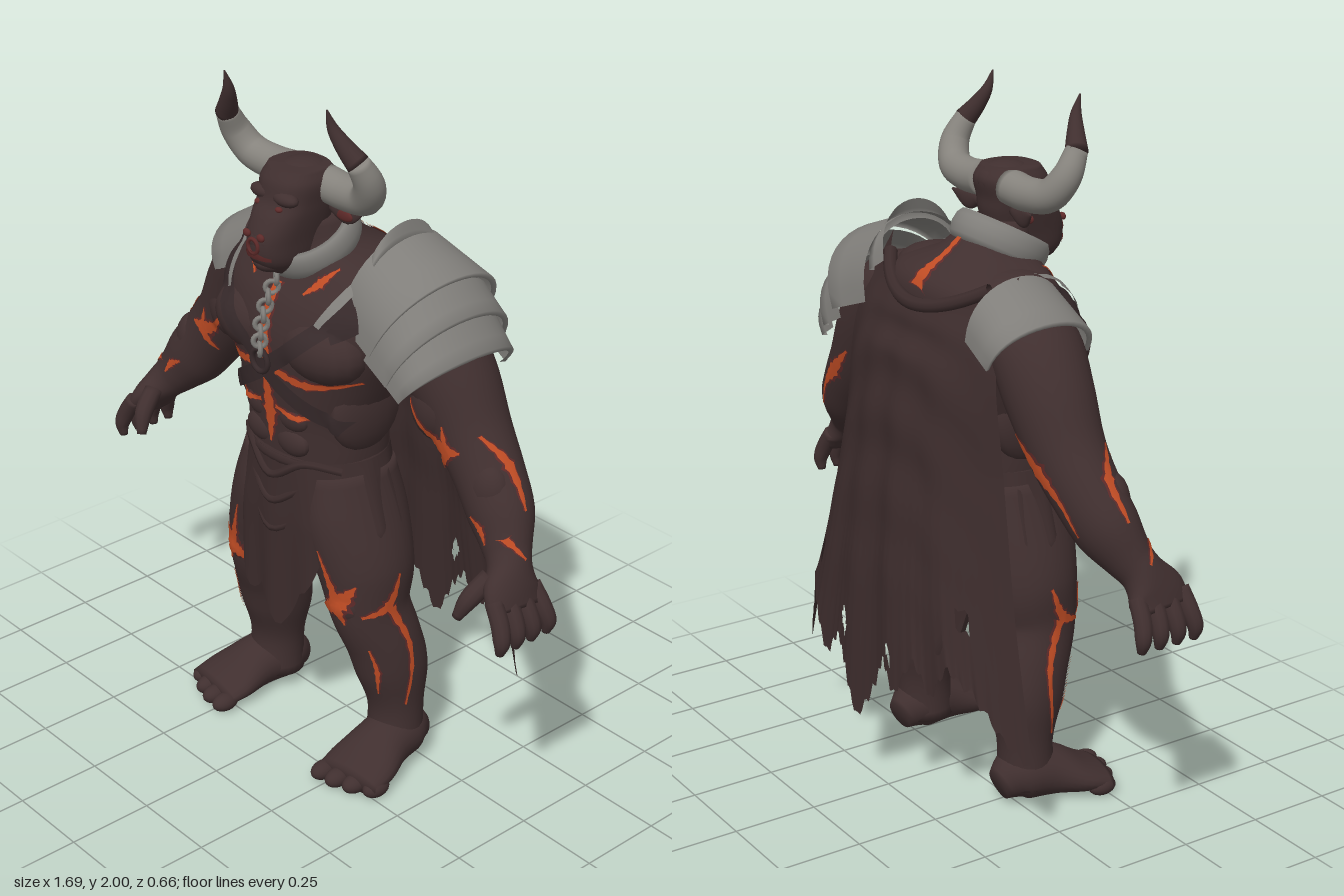
import * as THREE from 'three';
import { mergeVertices } from 'three/addons/utils/BufferGeometryUtils.js';

const V = (x, y, z) => new THREE.Vector3(x, y, z);
const material = (name, color, side = THREE.FrontSide) => {
  const m = new THREE.MeshStandardMaterial({ color, side });
  m.name = name;
  return m;
};

// Smooth surface from a rule f(i, j); cells with a missing corner or a true skip are left open
function grid(nu, nv, f, skip = () => false) {
  const pos = [], idx = [], ok = [];
  for (let i = 0; i <= nu; i++) for (let j = 0; j <= nv; j++) {
    const p = f(i, j);
    ok.push(!!p);
    pos.push(...(p || V(0, 0, 0)).toArray());
  }
  for (let i = 0; i < nu; i++) for (let j = 0; j < nv; j++) {
    const a = i * (nv + 1) + j, b = a + nv + 1;
    if (!ok[a] || !ok[b] || !ok[a + 1] || !ok[b + 1] || skip(i, j, pos, a, b)) continue;
    idx.push(a, b, a + 1, b, b + 1, a + 1);
  }
  let g = new THREE.BufferGeometry();
  g.setAttribute('position', new THREE.Float32BufferAttribute(pos, 3));
  g.setIndex(idx);
  g = mergeVertices(g, 1e-5);
  g.computeVertexNormals();
  return g;
}

// Closed body through sections [x, y, z, halfWidth, halfDepth]
function loft(sections, { ref = V(0, 0, 1), axis = null, s = 1, power = 1, seg = 24 } = {}) {
  const path = new THREE.CatmullRomCurve3(sections.map(p => V(p[0] * s, p[1], p[2])));
  const size = new THREE.CatmullRomCurve3(sections.map(p => V(p[3], p[4], 0)), false, 'catmullrom', 0.5);
  const n = (sections.length - 1) * 5;
  const pw = c => Math.sign(c) * Math.abs(c) ** power;
  return grid(n + 2, seg, (i, j) => {
    const t = Math.min(Math.max(i - 1, 0), n) / n, c = path.getPoint(t);
    if (i === 0 || i === n + 2) return c;
    const T = axis || path.getTangent(t), r = size.getPoint(t), a = (j % seg) / seg * Math.PI * 2;
    const N = V(0, 0, 0).crossVectors(T, ref).normalize(), B = V(0, 0, 0).crossVectors(N, T).normalize();
    return c.addScaledVector(N, r.x * pw(Math.cos(a))).addScaledVector(B, r.y * pw(Math.sin(a)));
  });
}

// Piecewise-linear lookup for ragged hems
const lookup = (list, t) => {
  const k = Math.min(Math.max(t, 0), 0.9999) * (list.length - 1), i = Math.floor(k);
  return list[i] + (list[i + 1] - list[i]) * (k - i);
};
const zigzag = t => Math.abs((((t % 1) + 1) % 1) * 2 - 1) * 2 - 1;

export function createModel() {
  const group = new THREE.Group();
  group.name = 'hornedWarrior';
  const skin = material('darkSkin', 0x402f2f);
  const cloth = material('cloth', 0x3b2b2b, THREE.DoubleSide);
  const leather = material('leather', 0x36292a, THREE.DoubleSide);
  const steel = material('steel', 0x807e7a, THREE.DoubleSide);
  const horn = material('paleHorn', 0x86837d);
  const ember = material('ember', 0xc04c24, THREE.DoubleSide);
  const red = material('dullRed', 0x5e2a29, THREE.DoubleSide);
  const bodies = [];
  const add = (name, geo, mat) => {
    const m = new THREE.Mesh(geo, mat);
    m.name = name;
    group.add(m);
    if (mat === skin) bodies.push(m);
  };
  const bump = (name, x, y, z, rx, ry, rz, mat = skin) =>
    add(name, new THREE.SphereGeometry(1, 18, 12).scale(rx, ry, rz).translate(x, y, z), mat);

  // Torso and head, built from level slices
  const up = V(0, 1, 0);
  add('torso', loft([[0, .8, .1, .19, .15], [0, .95, .1, .21, .165], [0, 1.08, .1, .215, .175], [0, 1.2, .09, .26, .195],
    [0, 1.32, .08, .31, .21], [0, 1.42, .06, .33, .205], [0, 1.5, .045, .27, .175], [0, 1.56, .08, .13, .125],
    [0, 1.64, .13, .08, .08]], { axis: up, seg: 40, power: .9 }), skin);
  add('head', loft([[0, 1.5, .2, .04, .06], [0, 1.54, .22, .066, .095], [0, 1.6, .21, .075, .115], [0, 1.66, .19, .085, .112],
    [0, 1.7, .175, .09, .1], [0, 1.75, .165, .095, .098], [0, 1.785, .165, .08, .075]], { axis: up, power: .8 }), skin);
  bump('crown', 0, 1.745, .15, .085, .05, .085);
  bump('muzzle', 0, 1.6, .265, .066, .045, .062);
  bump('chin', 0, 1.535, .265, .045, .03, .05);
  add('noseRing', new THREE.TorusGeometry(.02, .006, 6, 18).translate(0, 1.59, .325), red);
  for (let i = 0; i < 3; i++) for (const s of [-1, 1])
    bump('abdominal', s * .062, 1.165 - i * .075, .248, .064, .044, .029);

  for (const s of [-1, 1]) {
    const part = (name, sections, mat = skin, opt = {}) => add(name, loft(sections, { s, ...opt }), mat);
    // Chest and face
    bump('pectoral', s * .135, 1.31, .2, .15, .1, .098);
    bump('collarMuscle', s * .17, 1.48, .05, .14, .06, .12);
    bump('sideMuscle', s * .19, 1.12, .1, .05, .13, .12);
    bump('brow', s * .045, 1.715, .25, .045, .02, .025);
    bump('eye', s * .042, 1.69, .27, .012, .008, .01, red);
    bump('nostril', s * .028, 1.62, .322, .014, .011, .008, red);
    part('ear', [[.08, 1.675, .12, .015, .013], [.135, 1.665, .115, .028, .012], [.19, 1.685, .1, .003, .003]]);
    bump('innerEar', s * .132, 1.664, .126, .035, .016, .006, red);
    // Horns
    part('horn', [[.06, 1.735, .125, .05, .05], [.15, 1.73, .125, .048, .048], [.23, 1.745, .135, .046, .046],
      [.268, 1.8, .16, .041, .041], [.263, 1.865, .195, .031, .031]], horn);
    part('hornTip', [[.264, 1.86, .193, .032, .032], [.232, 1.905, .213, .024, .024], [.209, 1.95, .23, .015, .015],
      [.205, 2, .245, .002, .002]]);
    // Arm, palm and fingers
    part('arm', [[.25, 1.4, .02, .1, .12], [.34, 1.37, .01, .115, .13], [.42, 1.27, 0, .122, .122], [.505, 1.135, 0, .108, .105],
      [.58, 1.04, .01, .1, .095], [.65, .955, .03, .096, .086], [.705, .885, .06, .07, .065], [.735, .85, .08, .058, .062],
      [.765, .805, .1, .044, .09], [.79, .76, .105, .03, .09]]);
    bump('biceps', s * .43, 1.2, .06, .085, .1, .06);
    bump('forearmMuscle', s * .62, 1.02, .05, .07, .085, .055);
    for (let k = 0; k < 4; k++) {
      const z = .035 + k * .047, d = (k - 1.5) * .01;
      part('finger', [[.775, .8, z, .025, .025], [.81, .745, z + d / 2, .026, .025], [.824, .705, z + d, .023, .022],
        [.818, .668, z + d, .012, .012]], skin, { seg: 10 });
    }
    part('thumb', [[.725, .84, .14, .028, .028], [.705, .785, .195, .027, .027], [.685, .73, .22, .014, .014]], skin, { seg: 10 });
    // Leg, foot and toes
    part('leg', [[.13, .92, .1, .1, .14], [.152, .78, .1, .125, .16], [.195, .63, .1, .13, .145], [.22, .51, .105, .105, .122],
      [.243, .4, .075, .104, .112], [.255, .3, .052, .1, .108], [.265, .18, .045, .082, .08], [.268, .05, .05, .085, .085]]);
    bump('kneecap', s * .22, .55, .17, .07, .075, .068);
    part('foot', [[.265, .055, -.045, .045, .045], [.27, .08, .02, .082, .078], [.285, .075, .11, .086, .074],
      [.3, .05, .2, .108, .049], [.308, .033, .27, .106, .033]], skin, { ref: up });
    for (let k = 0; k < 4; k++)
      bump('toe', s * (.227 + k * .054), .028, .285 - k * k * .006, .03, .027, .044);
  }

  // Thin strips laid on the body: points are [u, v, halfWidth] seen from one side
  const caster = new THREE.Raycaster();
  const sides = {
    front: [(u, v) => V(u, v, 2), V(0, 0, -1)], back: [(u, v) => V(u, v, -2), V(0, 0, 1)], top: [(u, v) => V(u, 3, v), V(0, -1, 0)],
    left: [(u, v) => V(2, v, u), V(-1, 0, 0)], right: [(u, v) => V(-2, v, u), V(1, 0, 0)],
  };
  const touch = (side, u, v, lift) => {
    const [from, dir] = sides[side];
    caster.set(from(u, v), dir);
    const hit = caster.intersectObjects(bodies, false)[0];
    return hit ? hit.point.clone().addScaledVector(dir, -lift) : null;
  };
  const strip = (name, mat, side, pts, lift, s = 1, wide = 1, rough = 0) => {
    const path = new THREE.CatmullRomCurve3(pts.map(p => V(p[0] * s, p[1], 0)));
    const n = 8 * (pts.length - 1);
    add(name, grid(n, 4, (i, j) => {
      const t = i / n, c = path.getPoint(t), d = path.getTangent(t);
      const w = wide * lookup(pts.map(p => p[2]), t) * (j / 2 - 1) * (1 + rough * zigzag(i * .37));
      return touch(side, c.x - d.y * w, c.y + d.x * w, lift);
    }, (i, j, p, a, b) => [b, a + 1, b + 1].some(k => Math.hypot(p[k * 3] - p[a * 3],
      p[k * 3 + 1] - p[a * 3 + 1], p[k * 3 + 2] - p[a * 3 + 2]) > .09)), mat);
  };
  // Glowing cracks with a dull red border
  const crack = (side, pts, s = 1) => {
    strip('crackBorder', red, side, pts, .003, s, 1.35, .3);
    strip('crack', ember, side, pts, .006, s, .9, .3);
  };
  crack('front', [[0, 1.47, .014], [0, 1.36, .016], [0, 1.25, .024]]);
  crack('front', [[0, 1.2, .012], [.005, 1.1, .024], [0, 1, .004]]);
  crack('top', [[0, .01, .01], [0, -.07, .013], [.003, -.14, .028]]);
  strip('mouth', red, 'front', [[-.05, 1.558, .005], [0, 1.567, .012], [.05, 1.558, .005]], .004);
  const frontCracks = [
    [[.04, 1.235, .012], [.14, 1.215, .012], [.26, 1.235, .003]], [[.03, 1.12, .006], [.11, 1.105, .008], [.17, 1.13, .002]],
    [[.1, 1.46, .003], [.135, 1.495, .013], [.16, 1.53, .003]], [[.38, 1.22, .003], [.45, 1.14, .01], [.505, 1.115, .026], [.56, 1.12, .003]],
    [[.5, 1.18, .002], [.51, 1.1, .018], [.48, 1.04, .002]], [[.62, .965, .003], [.66, .945, .012], [.685, .91, .003]],
    [[.28, .63, .002], [.24, .575, .028], [.2, .545, .022], [.16, .53, .003]], [[.175, .72, .002], [.2, .65, .008], [.23, .56, .022], [.25, .5, .003]],
    [[.3, .42, .002], [.31, .34, .006], [.3, .26, .002]],
  ];
  for (const s of [-1, 1]) {
    frontCracks.forEach(c => crack('front', c, s));
    const side = s > 0 ? 'left' : 'right';
    crack(side, [[.06, 1.17, .004], [.02, 1.1, .015], [.03, 1.0, .004]]);
    crack(side, [[.1, .94, .012], [.07, .89, .003]]);
    crack(side, [[.2, .53, .004], [.13, .56, .016], [.09, .65, .004]]);
    crack(side, [[.12, .55, .014], [.07, .42, .009], [.08, .22, .003]]);
    crack('back', [[.43, 1.18, .003], [.52, 1.1, .022], [.6, 1.03, .007], [.65, .95, .003]], s);
    // Crossed chest straps and shoulder fittings
    strip('chestStrap', leather, 'front', [[.27, 1.49, .028], [.16, 1.36, .026], [0, 1.23, .024], [-.14, 1.14, .024], [-.22, 1.09, .024]], .012, s);
    strip('shoulderStrap', leather, 'front', [[.3, 1.5, .03], [.26, 1.42, .03], [.22, 1.38, .02]], .015, s);
    strip('strapBuckle', steel, 'front', [[.235, 1.53, .013], [.21, 1.46, .014], [.18, 1.4, .009]], .02, s);
  }

  // Tall tilted neck collar, hanging chain and chest ring
  add('collar', new THREE.TorusGeometry(.122, .021, 10, 40).rotateX(Math.PI / 2).scale(1, 2.1, 1).rotateX(.5).translate(0, 1.572, .13), steel);
  for (let i = 0; i < 9; i++) {
    const y = 1.48 - i * .024, p = touch('front', 0, y, .018);
    add('chainLink', new THREE.TorusGeometry(.018, .0075, 6, 14).rotateY(i % 2 ? .9 : -.6).translate(0, y, p.z), steel);
  }
  add('chestRing', new THREE.TorusGeometry(.032, .008, 8, 24).translate(0, 1.255, touch('front', 0, 1.255, .02).z), leather);

  // Arched shoulder plates: each arc is [bottomX, bottomY, topX, topY, halfDepth]
  const plate = (name, a, b, s, zc = 0) => add(name, grid(4, 20, (i, j) => {
    const q = a.map((v, k) => v + (b[k] - v) * Math.min(i, 3) / 3), th = Math.PI * j / 20, h = Math.sin(th) ** .8;
    const lip = i === 4 ? -.014 : 0; // turned-in rim
    return V(s * (q[0] + (q[2] - q[0]) * h + lip * .5), q[1] + (q[3] - q[1]) * h + lip * h, zc + (q[4] + lip) * Math.cos(th));
  }), steel);
  plate('leftShoulderGuard', [.19, 1.4, .24, 1.62, .19], [.33, 1.35, .435, 1.55, .215], 1);
  plate('leftMiddlePlate', [.3, 1.33, .41, 1.53, .205], [.39, 1.285, .48, 1.455, .21], 1);
  plate('leftLowerPlate', [.36, 1.285, .455, 1.45, .195], [.425, 1.245, .52, 1.36, .195], 1);
  plate('leftNeckGuard', [.22, 1.5, .25, 1.655, .12], [.25, 1.47, .262, 1.61, .15], 1, .01);
  plate('rightShoulderGuard', [.27, 1.4, .3, 1.56, .155], [.385, 1.35, .45, 1.47, .165], -1, -.01);

  // Long torn cape; rows are [y, middle z, edge z] with half widths beside them
  const rows = new THREE.CatmullRomCurve3([V(1.44, -.158, -.02), V(1.29, -.222, -.115), V(1, -.262, -.13), V(.65, -.3, -.15), V(.28, -.32, -.165)]);
  const widths = [.31, .335, .38, .45, .535];
  const hem = [.26, .34, .46, .52, .4, .5, .37, .46, .33, .22, .35, .43, .34, .46, .52, .38, .26];
  const holes = [[-.74, .8, .04, .025], [-.6, .88, .03, .03], [.72, .84, .03, .04], [.87, .87, .03, .025], [.3, .9, .04, .02], [-.2, .92, .03, .02]];
  const NV = 60, NU = 120;
  const capePoint = (v, U) => {
    const r = rows.getPoint(v), e = U * U, edge = Math.abs(U) ** (2 + v);
    const y = r.x + .12 * e * (1 - v) ** 2 + (lookup(hem, (U + 1) / 2) - .28 + .018 * zigzag(U * 16)) * v ** 4;
    const drape = .022 * v ** .5 * (1 - v) ** 2 * Math.sin(36 * v - 8 * e), fold = .009 * v * Math.sin(15 * U + 2 * v);
    const z = r.y + (r.z - r.y) * edge - drape * (1 - e) + fold * (1 - e * .5) - .03 * v * U * e;
    return V(U * lookup(widths, v) - .022 * v * v, y, z);
  };
  add('cape', grid(NV, NU, (i, j) => capePoint(i / NV, j / NU * 2 - 1), (i, j) => holes.some(h =>
    Math.hypot((j / NU * 2 - 1 - h[0]) / h[2], (i / NV - h[1]) / h[3]) < 1)), cloth);
  const neckline = new THREE.CatmullRomCurve3(Array.from({ length: 13 }, (_, k) => capePoint(0, (k / 6 - 1) * .8)));
  add('capeNeckRoll', new THREE.TubeGeometry(neckline, 40, .02, 8), cloth);

  // Ragged waist cloth with front and back flaps
  add('waistCloth', grid(24, 96, (i, j) => {
    const a = j / 96 * Math.PI * 2, v = i / 24, sn = Math.sin(a);
    const flap = THREE.MathUtils.smoothstep(Math.abs(sn), .72, .98);
    const low = .76 - .29 * flap + .055 * zigzag(j / 9) * (.5 + .5 * flap);
    const y = .97 + (low - .97) * v, flare = Math.min(1, (.97 - y) / .2), fold = .007 * Math.sin(a * 13) * v;
    return V(Math.cos(a) * (.218 + .068 * flare + fold), y, .1 + sn * (.175 + .008 * flare + fold));
  }), cloth);
  add('waistRoll', new THREE.TorusGeometry(.2, .02, 8, 40).rotateX(Math.PI / 2).scale(1, 1, .82).translate(0, .955, .1), cloth);
  [.9, .82, .73].forEach((y, k) => {
    const w = .2 - k * .02;
    add('waistFold', new THREE.TubeGeometry(new THREE.CatmullRomCurve3([V(-w, .95, .19), V(-w * .55, y + .06, .252), V(0, y, .28),
      V(w * .55, y + .06, .252), V(w, .95, .19)]), 24, .012, 6), cloth);
  });
  return group;
}
